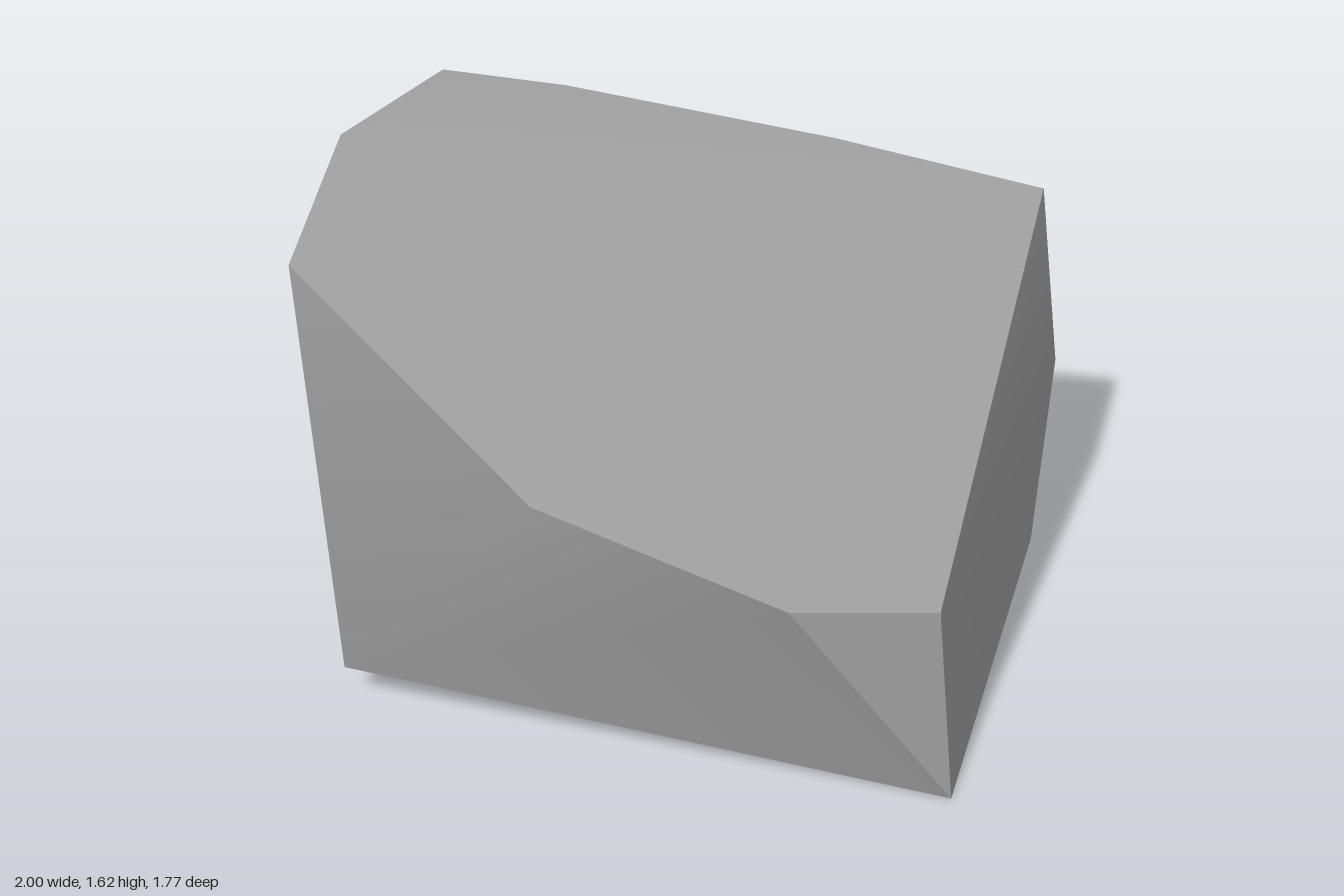
import * as THREE from 'three';

// Corner points of the boulder
const P = {
  peak: [-1, 1.615, 0.13], ridgeA: [-0.89, 1.6, -0.43], ridgeB: [-0.51, 1.575, -0.465],
  ridgeC: [0.28, 1.39, -0.695], ridgeD: [0.91, 1.205, -0.89],
  sideMid: [1, 0.66, -0.79], sideLow: [0.99, 0.115, -0.565],
  toe: [0.94, 0, 0.65], heel: [-0.895, 0.12, 0.65],
  brow: [-0.99, 1.42, 0.58], frontA: [-0.21, 0.945, 0.885], frontB: [0.49, 0.68, 0.82],
  shoulder: [0.87, 0.595, 0.595],
  rearA: [-0.65, 1.475, -0.56], rearB: [0.16, 1.3, -0.78],
  rearMid: [-0.845, 0.675, -0.325], underA: [-0.89, 0.15, 0.26], underB: [-0.24, 0.168, -0.25],
};

// Each face is a list of convex polygons sharing smooth normals; edges between faces stay sharp
const FACES = {
  topFace: ['peak brow frontA frontB shoulder ridgeD ridgeC ridgeB ridgeA'],
  frontFace: ['heel toe frontB frontA brow'],
  cornerChip: ['toe shoulder frontB'],
  leftFace: ['shoulder toe sideLow sideMid ridgeD'],
  rightFace: ['heel brow peak ridgeA rearMid underA'],
  underside: ['heel underA underB sideLow toe'],
  rearBevel: ['rearA ridgeA ridgeB ridgeC ridgeD rearB'],
  backFace: [
    'ridgeD sideMid rearB', 'sideMid rearMid rearB', 'rearMid ridgeA rearA rearB',
    'sideMid sideLow underB', 'sideMid underB rearMid', 'underB underA rearMid',
  ],
};

function makeFace(polygons) {
  const names = [...new Set(polygons.join(' ').split(' '))];
  const index = [];
  for (const polygon of polygons) {
    const c = polygon.split(' ').map((n) => names.indexOf(n));
    for (let i = 1; i < c.length - 1; i++) index.push(c[0], c[i], c[i + 1]);
  }
  const geometry = new THREE.BufferGeometry();
  geometry.setAttribute('position', new THREE.Float32BufferAttribute(names.flatMap((n) => P[n]), 3));
  geometry.setIndex(index);
  geometry.computeVertexNormals();
  return geometry;
}

export function createModel() {
  const stone = new THREE.MeshStandardMaterial({ color: 0xa0a0a0 });
  stone.name = 'grey stone';
  const boulder = new THREE.Group();
  boulder.name = 'boulder';
  for (const [name, polygons] of Object.entries(FACES)) {
    const mesh = new THREE.Mesh(makeFace(polygons), stone);
    mesh.name = name;
    boulder.add(mesh);
  }
  return boulder;
}
